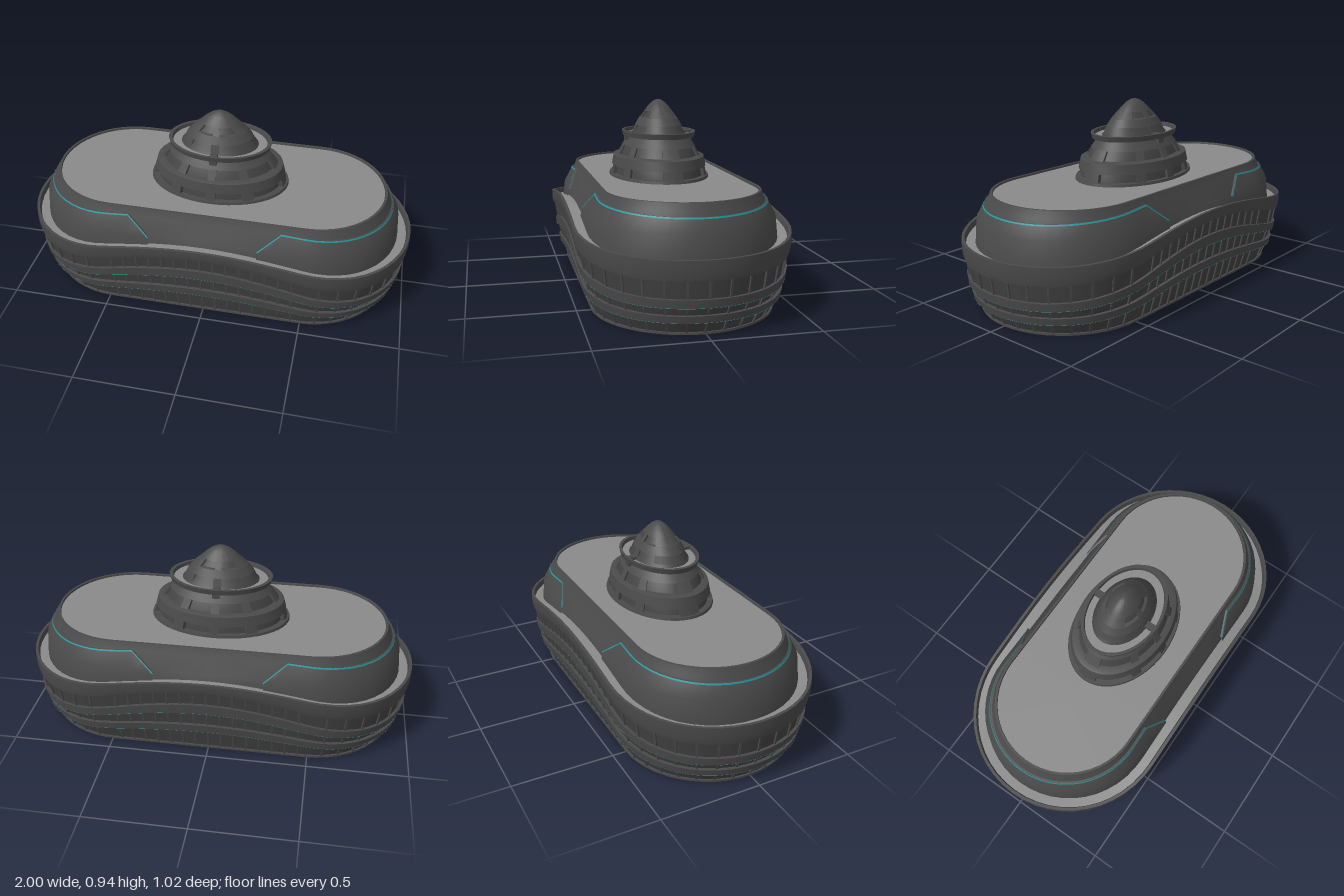
import * as THREE from 'three';
import { toCreasedNormals, mergeGeometries } from 'three/addons/utils/BufferGeometryUtils.js';

const mat = (name, color) => {
  const m = new THREE.MeshStandardMaterial({ color, side: THREE.DoubleSide });
  m.name = name;
  return m;
};

const S = 0.49; // half length of the straight sides

// Stations around a capsule-shaped plan: arc centre cx and facing angle a
function rightHalf(xs, arcSteps = 24) {
  const out = xs.map(x => ({ cx: x, a: 0 }));
  for (let i = 0; i <= arcSteps; i++) out.push({ cx: S, a: Math.PI * i / arcSteps });
  for (const x of [...xs].reverse()) out.push({ cx: x, a: Math.PI });
  return out;
}
const turned = list => list.map(s => ({ cx: -s.cx, a: s.a + Math.PI }));
const half = rightHalf([0, 0.08, 0.16, 0.24, 0.32, 0.4]);
const loop = [...half, ...turned(half)];

const at = (s, r, y, side = 0) => new THREE.Vector3(
  s.cx + r * Math.sin(s.a) + side * Math.cos(s.a), y, r * Math.cos(s.a) - side * Math.sin(s.a));

// Surface through rows of points
function grid(rows, crease = 0.5) {
  const pos = [], idx = [], n = rows[0].length;
  rows.forEach(row => row.forEach(p => pos.push(p.x, p.y, p.z)));
  for (let j = 0; j < rows.length - 1; j++) for (let i = 0; i < n - 1; i++) {
    const a = j * n + i, b = a + 1, c = b + n, d = a + n;
    idx.push(a, b, c, a, c, d);
  }
  const g = new THREE.BufferGeometry();
  g.setAttribute('position', new THREE.Float32BufferAttribute(pos, 3));
  g.setIndex(idx);
  return toCreasedNormals(g, crease);
}
// Profile entries are [radius, height], height being a number or a rule per station
const loft = (stations, profile) => grid(profile.map(([r, y]) =>
  stations.map(s => at(s, r, typeof y === 'function' ? y(s) : y))));

// Heights sweep up from the ends to the middle of each side
const wave = (end, mid) => s => {
  const x = s.cx + 0.5 * Math.sin(s.a);
  return end + (mid - end) * (0.5 + 0.5 * Math.cos(Math.PI * Math.min(1, Math.abs(x))));
};

export function createModel() {
  const model = new THREE.Group();
  const body = mat('dark grey hull', 0x4a4a4a);
  const panel = mat('darker grey panels', 0x424242);
  const deck = mat('light grey deck', 0x8a8a8a);
  const teal = mat('teal trim', 0x1f959c);
  const add = (name, geo, m) => {
    const mesh = new THREE.Mesh(geo, m);
    mesh.name = name;
    model.add(mesh);
    return mesh;
  };

  // Three recessed window rows: lower radius, upper radius, lower and upper heights
  const rows = [
    { r0: 0.422, r1: 0.45, y0: wave(0.008, 0.008), y1: wave(0.065, 0.13) },
    { r0: 0.458, r1: 0.473, y0: wave(0.095, 0.168), y1: wave(0.135, 0.255) },
    { r0: 0.478, r1: 0.492, y0: wave(0.17, 0.305), y1: wave(0.26, 0.39) },
  ];

  // Evenly spaced rib positions
  const ribHalf = [];
  for (let i = 0; i < 8; i++) ribHalf.push({ cx: i * 0.0645, a: 0 });
  for (let i = 1; i < 16; i++) ribHalf.push({ cx: S, a: Math.PI * i / 16 });
  for (let i = 7; i > 0; i--) ribHalf.push({ cx: i * 0.0645, a: Math.PI });
  const ribs = [...ribHalf, ...turned(ribHalf)];

  for (const { r0, r1, y0, y1 } of rows) {
    add('windowRow', loft(loop, [[r0, y0], [r1, y1]]), panel);
    const parts = ribs.map(s => {
      const section = (r, y) => [[-1, -1], [-1, 1], [1, 1], [1, -1], [-1, -1]]
        .map(([u, v]) => at(s, r + v * 0.007, y, u * 0.005));
      return grid([section(r0, y0(s)), section(r1, y1(s))]);
    });
    add('windowRibs', mergeGeometries(parts), body);
  }

  // Base strip and the two sweeping bands with teal lower edges
  add('baseStrip', loft(loop, [[0.41, 0], [0.432, 0], [0.432, 0.01], [0.41, 0.01], [0.41, 0]]), body);
  const band = (name, rin, rb, rt, y0, y1) => {
    add(name, loft(loop, [[rin, y0], [rb, y0], [rt, y1], [rin, y1], [rin, y0]]), body);
    const lower = s => y0(s) - 0.001;
    add(name + 'Trim', loft(loop, [[rb - 0.005, lower], [rb, lower]]), teal);
  };
  band('lowerBand', 0.448, 0.468, 0.475, wave(0.063, 0.126), wave(0.096, 0.17));
  band('middleBand', 0.468, 0.488, 0.493, wave(0.134, 0.253), wave(0.172, 0.307));

  // Bulwark rim and the walkway inside it
  add('rim', loft(loop, [[0.48, wave(0.255, 0.385)], [0.503, wave(0.255, 0.385)], [0.51, wave(0.29, 0.41)],
    [0.51, wave(0.345, 0.44)], [0.496, wave(0.345, 0.44)], [0.49, wave(0.315, 0.415)]]), body);
  add('walkway', loft(loop, [[0.493, wave(0.316, 0.414)], [0.42, wave(0.316, 0.414)]]), deck);

  // Sloping superstructure wall, top lip and roof deck
  add('upperWall', loft(loop, [[0.437, wave(0.31, 0.41)], [0.425, 0.44], [0.382, 0.52], [0.368, 0.557],
    [0.357, 0.557], [0.355, 0.545]]), body);
  add('roofDeck', loft(loop, [[0.358, 0.547], [0, 0.547]]), deck);

  // Raised end panels with a teal upper edge
  const wallR = y => 0.425 - (y - 0.44) * 0.54;
  const edgeY = s => {
    const x = Math.abs(s.cx + 0.38 * Math.sin(s.a));
    return x < 0.38 ? 0.435 + (x - 0.27) / 0.11 * 0.09 : 0.525 - (x - 0.38) / 0.5 * 0.027;
  };
  const endStations = rightHalf([0.27, 0.325, 0.38]);
  for (const st of [endStations, turned(endStations)]) {
    const low = wave(0.31, 0.41);
    add('endPanel', grid([
      st.map(s => at(s, 0.446, low(s))),
      st.map(s => { const y = Math.min(0.44, edgeY(s)); return at(s, wallR(y) + 0.01, y); }),
      st.map(s => at(s, wallR(edgeY(s)) + 0.009, edgeY(s))),
      st.map(s => at(s, wallR(edgeY(s)) - 0.004, edgeY(s) + 0.001)),
    ]), body);
    add('endPanelTrim', grid([-0.005, 0.002].map(d => st.map(s => {
      const y = edgeY(s) + d;
      return at(s, wallR(y) + 0.0115, y);
    }))), teal);
  }

  // Tiered dome, stretched along x
  const STRETCH = 1.42, rad = Math.PI / 180;
  const turn = (pts, from = 0, to = 360) => {
    const g = new THREE.LatheGeometry(pts.map(p => new THREE.Vector2(...p)),
      Math.max(2, Math.round((to - from) / 7.5)), from * rad, (to - from) * rad);
    g.scale(STRETCH, 1, 1);
    return toCreasedNormals(g, 0.5);
  };
  add('domeCore', turn([[0.228, 0.545], [0.218, 0.605], [0.198, 0.655], [0.172, 0.71], [0.14, 0.755],
    [0.116, 0.79], [0.09, 0.835], [0.056, 0.88]]), panel);
  add('domeFoot', turn([[0.23, 0.545], [0.252, 0.545], [0.249, 0.56], [0.22, 0.56]]), body);
  add('domeLowerBand', turn([[0.21, 0.603], [0.237, 0.603], [0.228, 0.652], [0.212, 0.658], [0.19, 0.658]]), body);
  add('domeUpperBand', turn([[0.17, 0.703], [0.183, 0.703], [0.152, 0.752]]), body);
  add('domeCollar', turn([[0.145, 0.75], [0.18, 0.75], [0.185, 0.776], [0.172, 0.776], [0.169, 0.757]]), body);
  add('collarWalkway', turn([[0.171, 0.758], [0.125, 0.758]]), deck);
  add('domeCrownBand', turn([[0.105, 0.805], [0.117, 0.805], [0.096, 0.842], [0.08, 0.846]]), body);
  add('domeCap', turn([[0.05, 0.876], [0.069, 0.876], [0.055, 0.896], [0.036, 0.917], [0.017, 0.931], [0, 0.935]]), body);

  // Piers between the dome windows; ranges are degrees from the front
  const lowPiers = [[-4, 4], [28, 38], [78, 102], [142, 152], [176, 184], [208, 218], [258, 282], [322, 332]];
  const highPiers = [[-7, 7], [45, 135], [173, 187], [225, 315]];
  const piers = (name, ranges, rb, yb, rt, yt) => add(name, mergeGeometries(ranges.map(([a, b]) =>
    mergeGeometries([
      turn([[rb, yb], [rt, yt]], a, b),
      ...[a, b].map(e => grid([[rb - 0.022, yb], [rt - 0.022, yt]].map(([r, y], k) =>
        [r, k ? rt : rb].map(q => new THREE.Vector3(q * STRETCH * Math.sin(e * rad), y, q * Math.cos(e * rad)))))),
    ].map(g => { g.deleteAttribute('uv'); return g; })))), body);
  piers('lowerPiers', lowPiers, 0.243, 0.555, 0.234, 0.605);
  piers('middlePiers', lowPiers, 0.21, 0.656, 0.184, 0.705);
  piers('upperPiers', highPiers, 0.134, 0.757, 0.117, 0.807);
  piers('crownPiers', highPiers, 0.095, 0.842, 0.069, 0.878);

  // Short braces tying the collar to the dome, front and back
  for (const side of [1, -1]) {
    const brace = add('collarBrace', new THREE.BoxGeometry(0.035, 0.045, 0.065), body);
    brace.position.set(0, 0.75, side * 0.145);
  }
  return model;
}
